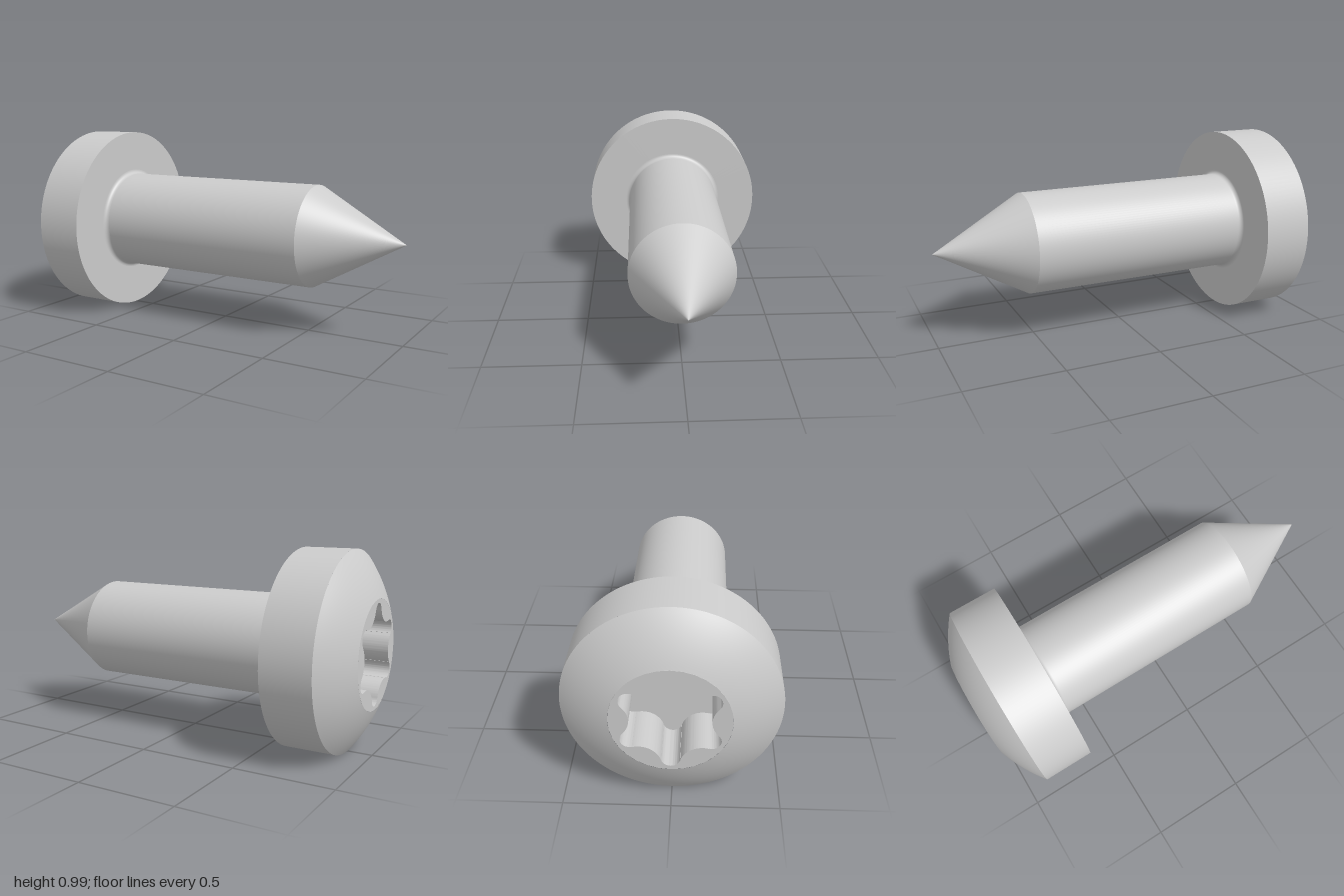
import * as THREE from 'three';
import { toCreasedNormals } from 'three/addons/utils/BufferGeometryUtils.js';

const AXIS_Y = 0.497, HEAD_R = 0.497, FACE_R = 0.27, SHANK_R = 0.26;
const FACE_X = -1, SOCKET_DEPTH = 0.24;

// Six-lobed outline made of tangent arcs, first lobe pointing up
function lobedPath(path) {
  const lobeC = 0.2075, lobeR = 0.0425, bumpC = 0.282, bumpR = 0.102;
  const swing = 1.316, step = Math.PI / 3;
  for (let i = 0; i < 6; i++) {
    const a = Math.PI / 2 + i * step, b = a + step / 2;
    path.absarc(lobeC * Math.cos(a), lobeC * Math.sin(a), lobeR, a - swing, a + swing, false);
    path.absarc(bumpC * Math.cos(b), bumpC * Math.sin(b), bumpR,
      a + swing + Math.PI, a + step - swing + Math.PI, true);
  }
  return path;
}

export function createModel() {
  const group = new THREE.Group();
  const material = new THREE.MeshStandardMaterial({ color: 0xcccccc });

  const add = (name, geometry) => {
    const mesh = new THREE.Mesh(geometry, material);
    mesh.name = name;
    mesh.position.y = AXIS_Y;
    group.add(mesh);
  };

  // Surface of revolution about x, from [x, radius] pairs
  const turned = (name, profile) => {
    const pts = profile.map(([x, r]) => new THREE.Vector2(r, x));
    add(name, new THREE.LatheGeometry(pts, 128).rotateZ(-Math.PI / 2));
  };

  // Head: spherical dome, straight rim and flat underside
  const domeX = -0.241, domeR = 0.8056, dome = [];
  for (let i = 0; i <= 12; i++) {
    const r = FACE_R + (HEAD_R - FACE_R) * i / 12;
    dome.push([domeX - Math.sqrt(domeR * domeR - r * r), r]);
  }
  turned('headDome', dome);
  turned('headRim', [[-0.875, HEAD_R], [-0.62, HEAD_R]]);
  turned('headUnderside', [[-0.62, HEAD_R], [-0.62, 0.283]]);

  // Concave fillet between head and shank
  const fillet = [];
  for (let i = 0; i <= 8; i++) {
    const a = i / 8 * Math.PI / 2;
    fillet.push([-0.597 - 0.023 * Math.cos(a), 0.283 - 0.023 * Math.sin(a)]);
  }
  turned('neckFillet', fillet);

  // Shank and pointed tip
  turned('shank', [[-0.597, SHANK_R], [0.535, SHANK_R]]);
  turned('tip', [[0.535, SHANK_R], [1, 0]]);

  // Flat end face with the lobed socket cut through it
  const face = new THREE.Shape().absarc(0, 0, FACE_R, 0, Math.PI * 2, false);
  face.holes.push(lobedPath(new THREE.Path()));
  const socket = new THREE.ExtrudeGeometry(face, {
    depth: SOCKET_DEPTH, bevelEnabled: false, curveSegments: 16,
  });
  socket.rotateY(Math.PI / 2).translate(FACE_X, 0, 0);
  add('driveSocket', toCreasedNormals(socket, 0.6));

  // Socket floor
  const floor = new THREE.ShapeGeometry(lobedPath(new THREE.Shape()), 16);
  floor.rotateY(-Math.PI / 2).translate(FACE_X + SOCKET_DEPTH, 0, 0);
  add('socketFloor', floor);

  return group;
}
